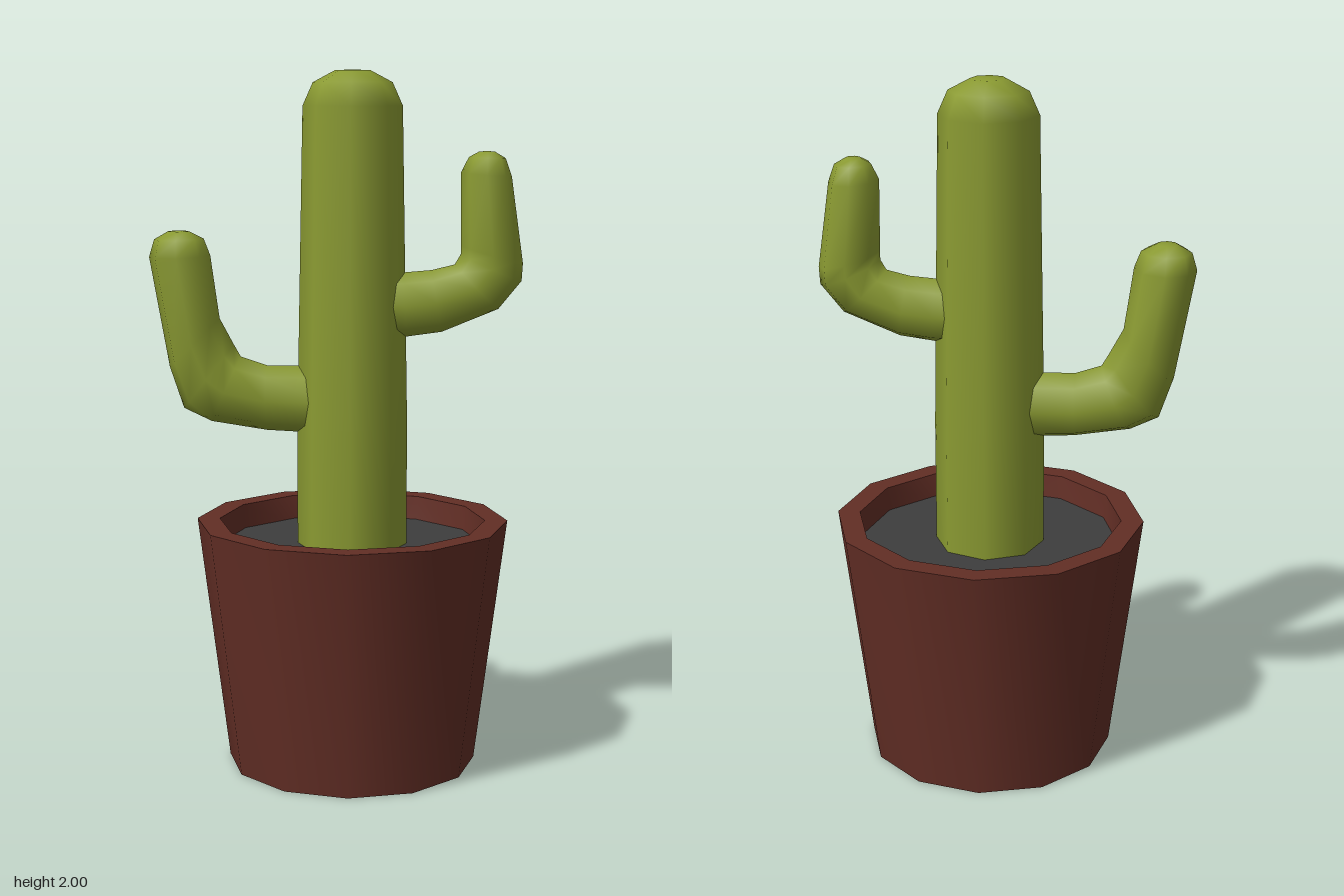
import * as THREE from 'three';
import { toCreasedNormals } from 'three/addons/utils/BufferGeometryUtils.js';

const CENTER_X = 0.045;

function material(name, color) {
  const m = new THREE.MeshStandardMaterial({ color });
  m.name = name;
  return m;
}

function lathe(profile, sides) {
  return new THREE.LatheGeometry(profile.map(([r, y]) => new THREE.Vector2(r, y)), sides);
}

// Arm swept through sections [outerX, outerY, innerX, innerY, halfDepth], closed at the last one.
// side is +1 for an arm reaching to +x and -1 for one reaching to -x.
function armGeometry(sections, side, sides = 8) {
  const positions = [];
  const index = [];
  for (const [ox, oy, ix, iy, depth] of sections) {
    for (let j = 0; j < sides; j++) {
      const a = (j / sides) * Math.PI * 2;
      const c = Math.cos(a) / 2;
      positions.push(
        (ox + ix) / 2 + c * (ox - ix),
        (oy + iy) / 2 + c * (oy - iy),
        -side * Math.sin(a) * depth
      );
    }
  }
  for (let i = 0; i < sections.length - 1; i++) {
    for (let j = 0; j < sides; j++) {
      const k = (j + 1) % sides;
      const a = i * sides + j, b = i * sides + k;
      index.push(a, b, b + sides, a, b + sides, a + sides);
    }
  }
  // Tip cap
  const [ox, oy, ix, iy] = sections[sections.length - 1];
  const last = (sections.length - 1) * sides;
  positions.push((ox + ix) / 2, (oy + iy) / 2 + 0.002, 0);
  for (let j = 0; j < sides; j++) {
    index.push(last + j, last + ((j + 1) % sides), last + sides);
  }
  const g = new THREE.BufferGeometry();
  g.setAttribute('position', new THREE.Float32BufferAttribute(positions, 3));
  g.setIndex(index);
  g.computeVertexNormals();
  return g;
}

export function createModel() {
  const group = new THREE.Group();
  group.name = 'pottedCactus';
  const green = material('cactus green', 0x8a9a32);
  const clay = material('dark clay', 0x622e25);
  const earth = material('dark soil', 0x3d3d3d);

  const add = (name, geometry, mat, x = 0, y = 0) => {
    const mesh = new THREE.Mesh(geometry, mat);
    mesh.name = name;
    mesh.position.set(x, y, 0);
    group.add(mesh);
  };

  // Tapered twelve-sided pot with a thick rim
  const pot = lathe([[0, 0], [0.36, 0], [0.45, 0.715], [0.385, 0.715], [0.375, 0.63]], 12);
  add('pot', toCreasedNormals(pot, Math.PI / 4), clay, CENTER_X);

  // Soil set just below the rim
  add('soil', new THREE.CircleGeometry(0.379, 12).rotateX(-Math.PI / 2), earth, CENTER_X, 0.645);

  // Eight-sided trunk with a rounded top
  const trunk = lathe([
    [0.158, 0.63], [0.158, 1.0], [0.141, 1.9], [0.112, 1.965], [0.05, 1.998], [0, 2.0],
  ], 8);
  add('trunk', trunk, green, CENTER_X);

  // Lower arm, bending up on the right
  add('rightArm', armGeometry([
    [0.0, 0.967, 0.0, 1.165, 0.085],
    [-0.2, 0.977, -0.2, 1.165, 0.085],
    [-0.36, 1.002, -0.275, 1.19, 0.09],
    [-0.44, 1.04, -0.295, 1.225, 0.092],
    [-0.48, 1.16, -0.335, 1.3, 0.094],
    [-0.535, 1.475, -0.36, 1.48, 0.098],
    [-0.52, 1.525, -0.378, 1.527, 0.075],
    [-0.48, 1.548, -0.42, 1.548, 0.033],
  ], -1), green);

  // Upper arm, bending up on the left
  add('leftArm', armGeometry([
    [0.08, 1.248, 0.08, 1.43, 0.083],
    [0.2, 1.25, 0.19, 1.433, 0.083],
    [0.3, 1.264, 0.27, 1.44, 0.083],
    [0.46, 1.33, 0.335, 1.456, 0.083],
    [0.525, 1.41, 0.352, 1.485, 0.083],
    [0.528, 1.46, 0.352, 1.51, 0.083],
    [0.493, 1.705, 0.35, 1.715, 0.083],
    [0.475, 1.755, 0.372, 1.758, 0.06],
    [0.445, 1.773, 0.4, 1.773, 0.027],
  ], 1), green);

  return group;
}
